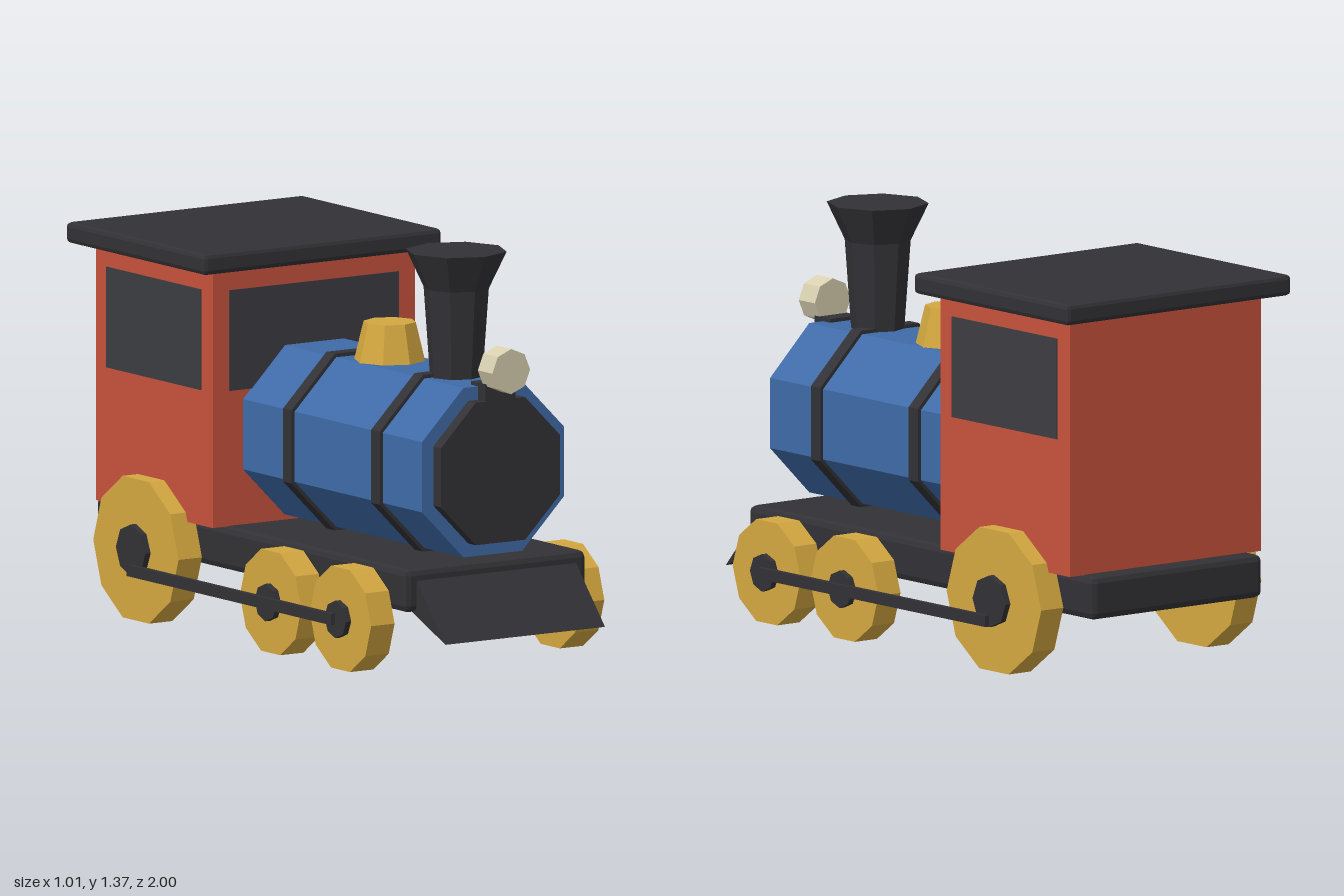
import * as THREE from 'three';
import { RoundedBoxGeometry } from 'three/addons/geometries/RoundedBoxGeometry.js';

const paint = (color) => new THREE.MeshStandardMaterial({ color, flatShading: true });

export function createModel() {
  const model = new THREE.Group();
  const red = paint(0xc8523c), blue = paint(0x3f6ba8), gold = paint(0xd4a840);
  const dark = paint(0x323135), glass = paint(0x3c3d42), cream = paint(0xd8cfb0);

  function add(name, geometry, material, x, y, z) {
    const mesh = new THREE.Mesh(geometry, material);
    mesh.name = name;
    mesh.position.set(x, y, z);
    model.add(mesh);
    return mesh;
  }
  const box = (w, h, d) => new THREE.BoxGeometry(w, h, d);
  // one-segment rounding gives a chamfered slab
  const slab = (w, h, d, r) => new RoundedBoxGeometry(w, h, d, 1, r);
  // octagonal drum along z; flat = true puts a flat side on top
  const drum = (r, length, flat) =>
    new THREE.CylinderGeometry(r, r, length, 8, 1, false, flat ? Math.PI / 8 : 0).rotateX(Math.PI / 2);
  // disc along x
  const disc = (r, width, sides) => new THREE.CylinderGeometry(r, r, width, sides).rotateZ(Math.PI / 2);

  // Chassis and front plough
  add('chassis', slab(0.728, 0.145, 1.82, 0.022), dark, 0, 0.283, -0.08);
  const wedge = new THREE.Shape([
    new THREE.Vector2(-0.8, 0.35), new THREE.Vector2(-1, 0.125), new THREE.Vector2(-0.8, 0.21),
  ]);
  const plough = new THREE.ExtrudeGeometry(wedge, { depth: 0.64, bevelEnabled: false });
  plough.rotateY(Math.PI / 2); // profile -x becomes +z, depth runs along +x
  add('plough', plough, dark, -0.32, 0, 0);

  // Boiler with bands and door
  const by = 0.658;
  add('boiler', drum(0.308, 1.11, true), blue, 0, by, 0.255);
  for (const z of [0.555, 0.038]) add('boilerBand', drum(0.321, 0.05, true), dark, 0, by, z);
  add('boilerDoor', drum(0.259, 0.09, true), dark, 0, by, 0.81);

  // Headlamp on its bracket
  add('lampBracket', box(0.12, 0.06, 0.085), dark, 0, 0.925, 0.812);
  add('headlamp', drum(0.076, 0.085, false), cream, 0, 1.001, 0.875);

  // Chimney and steam dome
  add('chimney', new THREE.CylinderGeometry(0.11, 0.086, 0.335, 8), dark, 0, 1.0725, 0.595);
  add('chimneyFunnel', new THREE.CylinderGeometry(0.17, 0.11, 0.125, 8), dark, 0, 1.3025, 0.595);
  add('steamDome', new THREE.CylinderGeometry(0.088, 0.125, 0.152, 8), gold, 0, 0.996, 0.205);

  // Cab, windows and roof
  add('cab', box(0.812, 0.862, 0.685), red, 0, 0.785, -0.582);
  add('frontWindow', box(0.68, 0.338, 0.02), glass, 0, 0.978, -0.246);
  for (const s of [1, -1]) add('sideWindow', box(0.02, 0.338, 0.555), glass, s * 0.4, 0.978, -0.582);
  add('roof', slab(0.956, 0.07, 0.815, 0.015), dark, 0, 1.25, -0.5925);

  // Running gear: z position, wheel radius, hub radius
  const wheels = [[0.6, 0.18, 0.063], [0.19, 0.18, 0.063], [-0.6, 0.25, 0.087]];
  for (const s of [1, -1]) {
    for (const [z, r, hub] of wheels) {
      const y = r * Math.cos(Math.PI / 10); // ten-sided wheel rests on a flat
      add('wheel', disc(r, 0.094, 10), gold, s * 0.421, y, z);
      add('wheelHub', disc(hub, 0.04, 8), dark, s * 0.469, y, z);
    }
    add('couplingRod', box(0.02, 0.038, 1.2), dark, s * 0.495, 0.172, 0);
  }
  return model;
}
